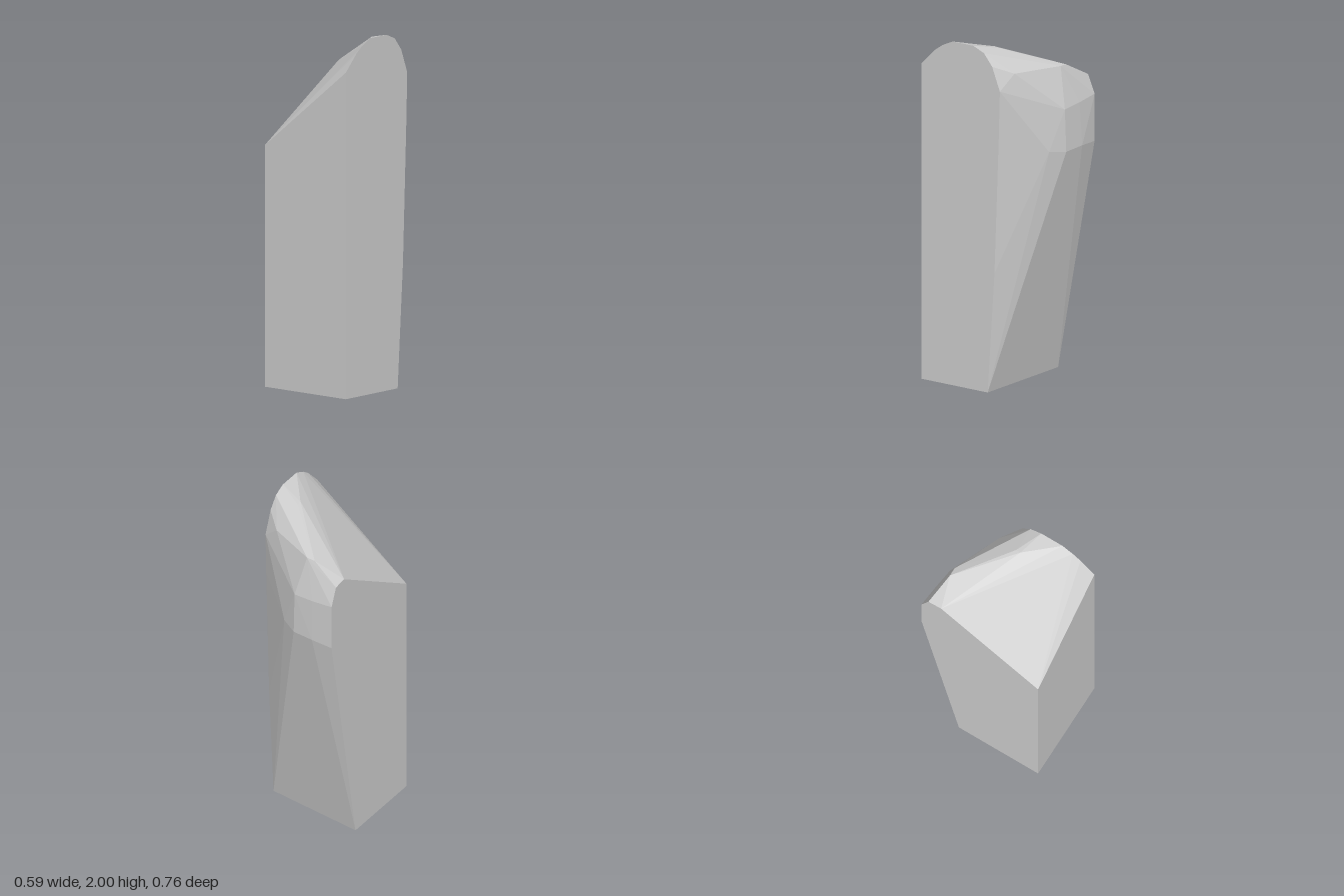
import * as THREE from 'three';
import { ConvexGeometry } from 'three/addons/geometries/ConvexGeometry.js';

const HALF_WIDTH = 0.295;

// Outline of a flat side as [z, y], from front bottom over the top to back bottom
const leftOutline = [
  [0.38, 0], [0.38, 1.835], [0.29, 1.93], [0.24, 1.967], [0.173, 2], [0.035, 2],
  [-0.035, 1.97], [-0.09, 1.9], [-0.141, 1.765], [-0.134, 1.5], [-0.105, 0.7], [-0.06, 0],
];
const rightOutline = [
  [0.38, 0], [0.38, 1.357], [-0.25, 1.75], [-0.333, 1.742],
  [-0.377, 1.635], [-0.377, 1.36], [-0.135, 0],
];

// Facet corners between the two sides, as [x, y, z]
const ridge = [[0.15, 1.966, -0.01], [0.15, 1.962, -0.04]];
const shoulder = [[-0.13, 1.837, -0.295], [-0.08, 1.84, -0.295], [0.2, 1.85, -0.175]];
const bulge = [
  [-0.16, 1.62, -0.367], [-0.035, 1.61, -0.353],
  [-0.167, 1.37, -0.38], [-0.035, 1.365, -0.362], [0.06, 1.38, -0.312],
];

export function createModel() {
  const side = (outline, x) => outline.map(([z, y]) => new THREE.Vector3(x, y, z));
  const points = [
    ...side(leftOutline, HALF_WIDTH),
    ...side(rightOutline, -HALF_WIDTH),
    ...[...ridge, ...shoulder, ...bulge].map((p) => new THREE.Vector3(...p)),
  ];

  // One faceted solid skinned around both sides and the back corners
  const block = new THREE.Mesh(
    new ConvexGeometry(points),
    new THREE.MeshStandardMaterial({ color: 0xcccccc, flatShading: true }),
  );
  block.name = 'facetedBlock';

  const group = new THREE.Group();
  group.name = 'carvedStone';
  group.add(block);
  return group;
}
